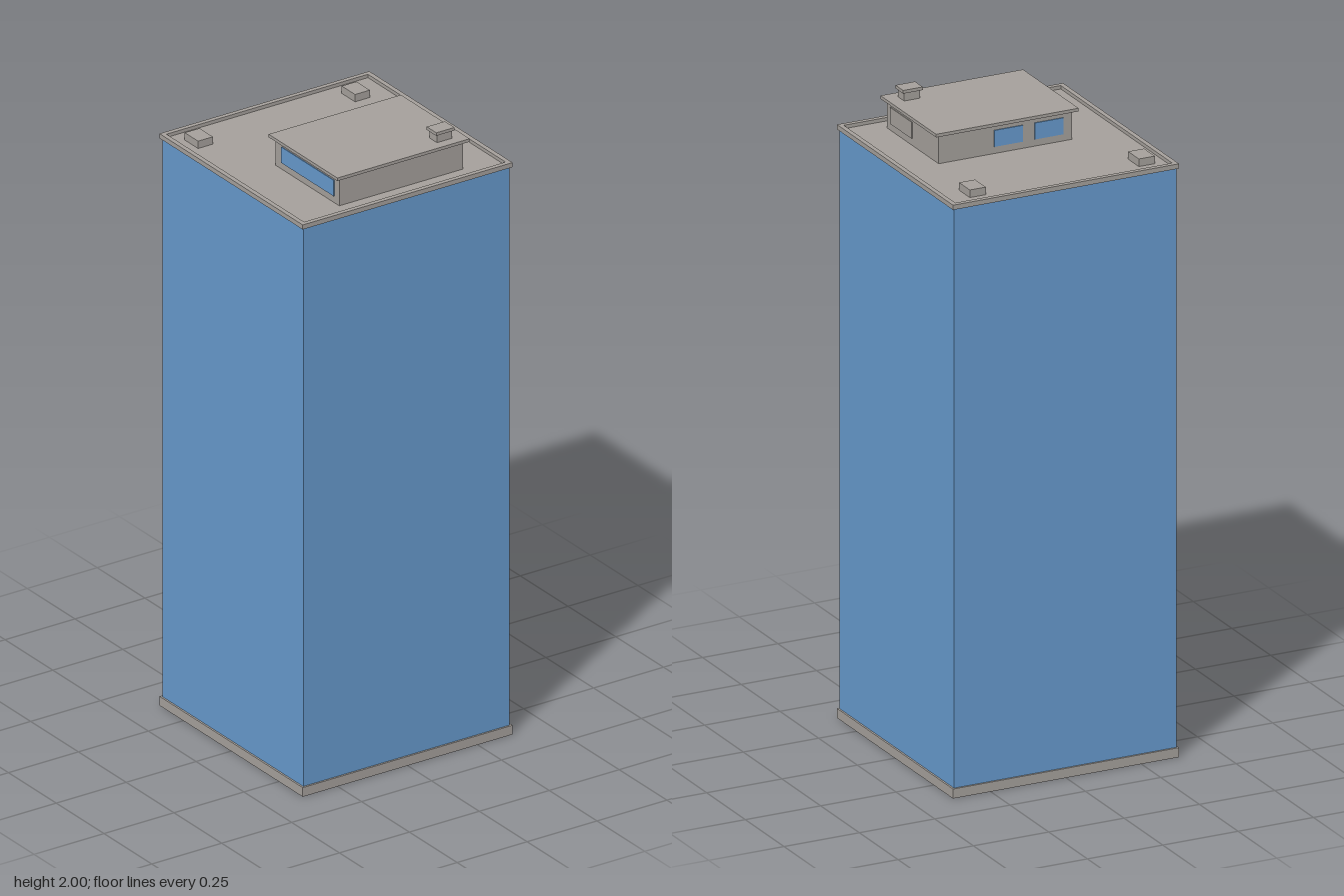
import * as THREE from 'three';

export function createModel() {
  const model = new THREE.Group();
  model.name = 'officeTower';

  const concrete = new THREE.MeshStandardMaterial({ color: 0xa5a09b });
  concrete.name = 'concreteGrey';
  const glass = new THREE.MeshStandardMaterial({ color: 0x6699cc });
  glass.name = 'glassBlue';

  // Box given by its lower and upper limits on each axis
  function block(name, material, [x0, x1], [y0, y1], [z0, z1], parent = model) {
    const mesh = new THREE.Mesh(new THREE.BoxGeometry(x1 - x0, y1 - y0, z1 - z0), material);
    mesh.position.set((x0 + x1) / 2, (y0 + y1) / 2, (z0 + z1) / 2);
    mesh.name = name;
    parent.add(mesh);
    return mesh;
  }

  // Square ring lying flat, with a square opening
  function frame(name, outer, inner, y0, y1) {
    const square = (r) => [[-r, -r], [r, -r], [r, r], [-r, r]].map(([x, y]) => new THREE.Vector2(x, y));
    const shape = new THREE.Shape(square(outer));
    shape.holes.push(new THREE.Path(square(inner).reverse()));
    const geometry = new THREE.ExtrudeGeometry(shape, { depth: y1 - y0, bevelEnabled: false });
    geometry.rotateX(-Math.PI / 2);
    const mesh = new THREE.Mesh(geometry, concrete);
    mesh.position.y = y0;
    mesh.name = name;
    model.add(mesh);
  }

  // Plinth with a recessed underside
  frame('plinthRim', 0.375, 0.36, 0, 0.03);
  block('plinthFloor', concrete, [-0.36, 0.36], [0.015, 0.029], [-0.36, 0.36]);

  // Glass shaft
  block('glassShaft', glass, [-0.369, 0.369], [0.03, 1.86], [-0.369, 0.369]);

  // Roof deck inside a low parapet
  block('roofDeck', concrete, [-0.36, 0.36], [1.855, 1.864], [-0.36, 0.36]);
  frame('parapet', 0.375, 0.36, 1.86, 1.875);

  // Two roof vents at the back
  block('rightVent', concrete, [-0.325, -0.272], [1.86, 1.888], [-0.316, -0.246]);
  block('leftVent', concrete, [0.236, 0.289], [1.86, 1.888], [-0.316, -0.246]);

  // Penthouse with an overhanging roof
  const penthouse = new THREE.Group();
  penthouse.name = 'penthouse';
  model.add(penthouse);
  block('penthouseWalls', concrete, [-0.2, 0.243], [1.86, 1.955], [-0.025, 0.31], penthouse);
  block('penthouseRoof', concrete, [-0.215, 0.258], [1.954, 1.964], [-0.038, 0.322], penthouse);

  // Thin windows and a side panel
  const sill = [1.886, 1.938];
  for (const [x0, x1] of [[-0.17, -0.075], [-0.035, 0.06]]) {
    block('backWindow', glass, [x0, x1], sill, [-0.028, -0.022], penthouse);
  }
  block('sideWindow', glass, [-0.203, -0.197], sill, [0.01, 0.285], penthouse);
  block('sidePanel', concrete, [0.24, 0.246], sill, [0.145, 0.285], penthouse);

  // Chimney and cap
  block('chimney', concrete, [0.163, 0.216], [1.96, 1.991], [0.25, 0.29], penthouse);
  block('chimneyCap', concrete, [0.157, 0.222], [1.99, 2], [0.245, 0.295], penthouse);

  return model;
}
